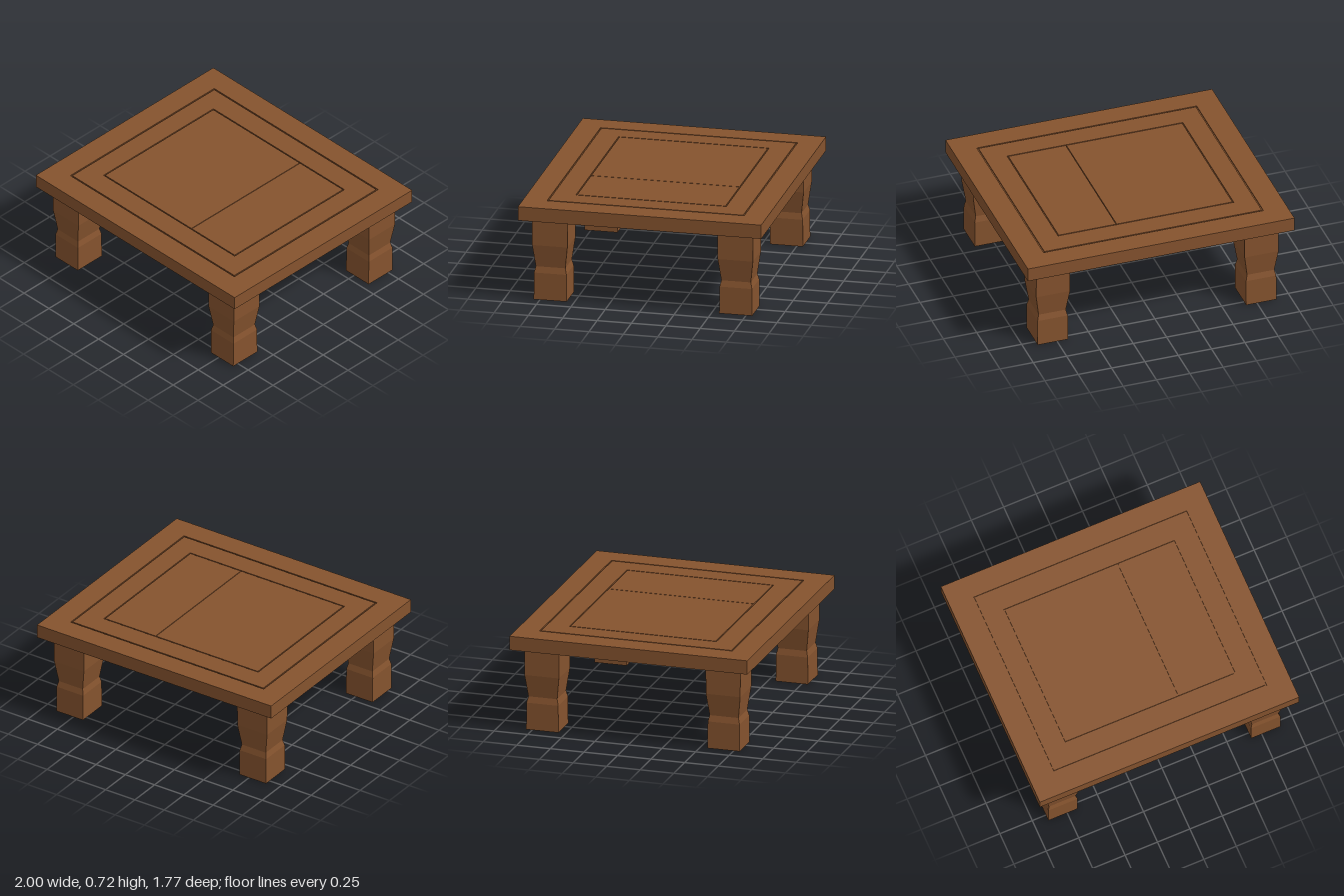
import * as THREE from 'three';

const wood = new THREE.MeshStandardMaterial({ color: 0x85532e, flatShading: true });

const GROOVE_FLOOR = 0.712, TOP = 0.72;

function add(parent, name, geometry) {
  const mesh = new THREE.Mesh(geometry, wood);
  mesh.name = name;
  parent.add(mesh);
  return mesh;
}

// Rectangle outline in plan: x0..x1, z0..z1
function rect(Type, [x0, x1, z0, z1]) {
  return new Type([[x0, -z1], [x1, -z1], [x1, -z0], [x0, -z0]].map(p => new THREE.Vector2(...p)));
}

// Flat layer between two heights, with an optional rectangular opening
function layer(outer, hole, y0, y1) {
  const shape = rect(THREE.Shape, outer);
  if (hole) shape.holes.push(rect(THREE.Path, hole));
  const g = new THREE.ExtrudeGeometry(shape, { depth: y1 - y0, bevelEnabled: false });
  return g.rotateX(-Math.PI / 2).translate(0, y0, 0);
}

// Square leg: each section is [y, half width, half depth], bottom to top
function legGeometry() {
  const sections = [[0, 0.113, 0.12], [0.2, 0.113, 0.118], [0.245, 0.102, 0.107], [0.41, 0.127, 0.128], [0.62, 0.127, 0.129]];
  const n = sections.length - 1;
  const g = new THREE.BoxGeometry(2, n, 2, 1, n, 1);
  const p = g.attributes.position;
  for (let i = 0; i < p.count; i++) {
    const [y, w, d] = sections[Math.round(p.getY(i) + n / 2)];
    p.setXYZ(i, p.getX(i) * w, y, p.getZ(i) * d);
  }
  g.computeVertexNormals();
  return g;
}

export function createModel() {
  const table = new THREE.Group();
  table.name = 'lowTable';

  // Table top: slab with grooves left between the raised frames and panels
  const top = new THREE.Group();
  top.name = 'tableTop';
  table.add(top);
  const edge = [-1, 1, -0.885, 0.885];
  add(top, 'slab', layer(edge, null, 0.617, GROOVE_FLOOR));
  add(top, 'outerFrame', layer(edge, [-0.825, 0.825, -0.72, 0.715], GROOVE_FLOOR, TOP));
  add(top, 'innerFrame', layer([-0.815, 0.815, -0.71, 0.705], [-0.662, 0.657, -0.55, 0.545], GROOVE_FLOOR, TOP));
  add(top, 'largePanel', layer([-0.654, 0.214, -0.542, 0.537], null, GROOVE_FLOOR, TOP));
  add(top, 'smallPanel', layer([0.219, 0.649, -0.542, 0.537], null, GROOVE_FLOOR, TOP));

  // Four legs
  const leg = legGeometry();
  for (const [name, x, z] of [['frontLeftLeg', 1, 1], ['frontRightLeg', -1, 1], ['backLeftLeg', 1, -1], ['backRightLeg', -1, -1]]) {
    add(table, name, leg).position.set(x * 0.782, 0, z * 0.675);
  }
  return table;
}
